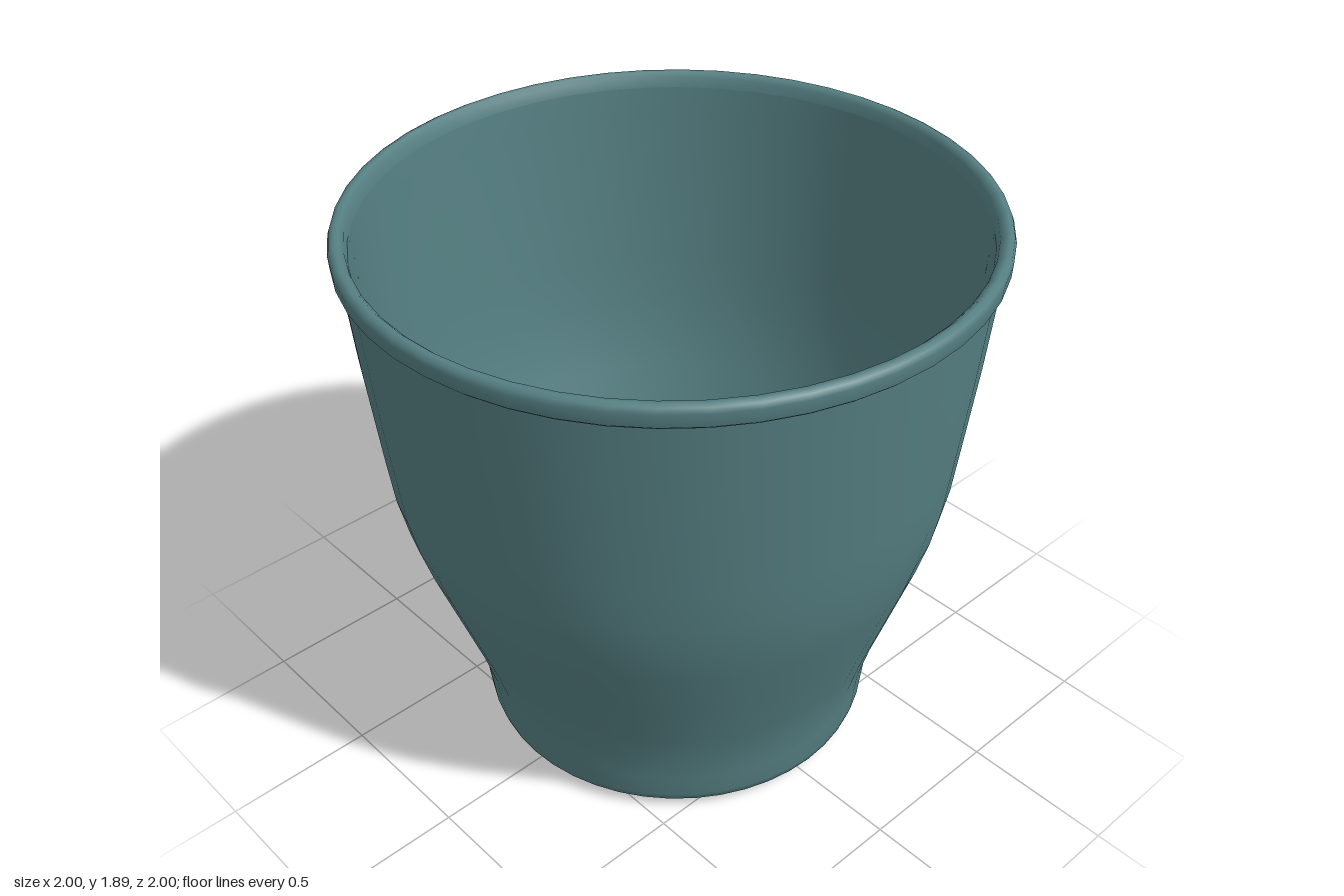
import * as THREE from 'three';

const SEGMENTS = 48;
const HOLES = [[0.54, 0.08], [-0.19, -0.54], [-0.37, 0.40]]; // x, z from the floor centre

// slight lean of the moulded pot: base sits a little to +x, rim rises to +x
function lean(geometry) {
  const p = geometry.attributes.position;
  for (let i = 0; i < p.count; i++) {
    const x = p.getX(i), y = p.getY(i);
    p.setX(i, x + 0.025 * Math.max(0, 1 - y / 1.1));
    p.setY(i, y + 0.009 * x * Math.max(0, y / 1.87 - 0.1));
  }
  geometry.computeBoundingSphere();
  return geometry;
}

function lathe(points) {
  return new THREE.LatheGeometry(points.map(([r, y]) => new THREE.Vector2(r, y)), SEGMENTS);
}

function circlePath(path, x, y, r, sides) {
  const points = [];
  for (let i = 0; i < sides; i++) {
    const a = (i / sides) * Math.PI * 2;
    points.push(new THREE.Vector2(x + r * Math.cos(a), y + r * Math.sin(a)));
  }
  return path.setFromPoints(points);
}

// flat round plate with holes [x, z, radius, sides], lying between y0 and y1
function plate(radius, holes, y0, y1) {
  const shape = circlePath(new THREE.Shape(), 0, 0, radius, SEGMENTS);
  for (const [x, z, r, sides] of holes) {
    shape.holes.push(circlePath(new THREE.Path(), x, -z, r, sides));
  }
  const g = new THREE.ExtrudeGeometry(shape, { depth: y1 - y0, bevelEnabled: false });
  return g.rotateX(-Math.PI / 2).translate(0, y0, 0);
}

export function createModel() {
  const group = new THREE.Group();
  const plastic = new THREE.MeshStandardMaterial({ color: 0x557f82 });
  plastic.name = 'teal plastic';
  const add = (name, geometry) => {
    const mesh = new THREE.Mesh(lean(geometry), plastic);
    mesh.name = name;
    group.add(mesh);
  };

  // wall, outside and inside, up to the rim
  add('outerWall', lathe([
    [0.60, 0.022], [0.63, 0.026], [0.652, 0.04], [0.661, 0.07], [0.67, 0.16], [0.68, 0.25],
    [0.715, 0.38], [0.78, 0.58], [0.845, 0.78], [0.878, 0.90], [0.905, 1.04], [0.922, 1.20],
    [0.952, 1.50], [0.976, 1.80], [0.978, 1.82],
  ]));
  add('innerWall', lathe([
    [0.945, 1.83], [0.938, 1.75], [0.92, 1.50], [0.89, 1.20], [0.872, 1.04], [0.845, 0.90],
    [0.812, 0.78], [0.747, 0.58], [0.682, 0.38], [0.65, 0.25], [0.638, 0.16], [0.628, 0.065],
  ]));

  // rolled rim
  add('rim', lathe([
    [0.97, 1.806], [0.988, 1.806], [0.997, 1.815], [0.999, 1.855], [0.993, 1.871], [0.98, 1.878],
    [0.966, 1.876], [0.952, 1.862], [0.945, 1.825],
  ]));

  // floor: low ring with drain holes, slope and raised centre
  add('floorRing', plate(0.632, [[0, 0, 0.425, SEGMENTS],
    ...HOLES.map(([x, z]) => [x, z, 0.038, 6])], 0.022, 0.07));
  add('floorSlopeTop', lathe([[0.425, 0.07], [0.405, 0.078], [0.36, 0.137], [0.34, 0.145]]));
  add('floorSlopeUnder', lathe([[0.34, 0.10], [0.36, 0.092], [0.405, 0.03], [0.425, 0.022]]));
  add('floorCentre', plate(0.34, [[0, -0.015, 0.052, 7]], 0.10, 0.145));

  // small feet opposite the drain holes
  for (const [x, z] of HOLES) {
    add('foot', new THREE.SphereGeometry(0.055, 12, 8).scale(1, 0.45, 1).translate(-x, 0.025, -z));
  }
  return group;
}
